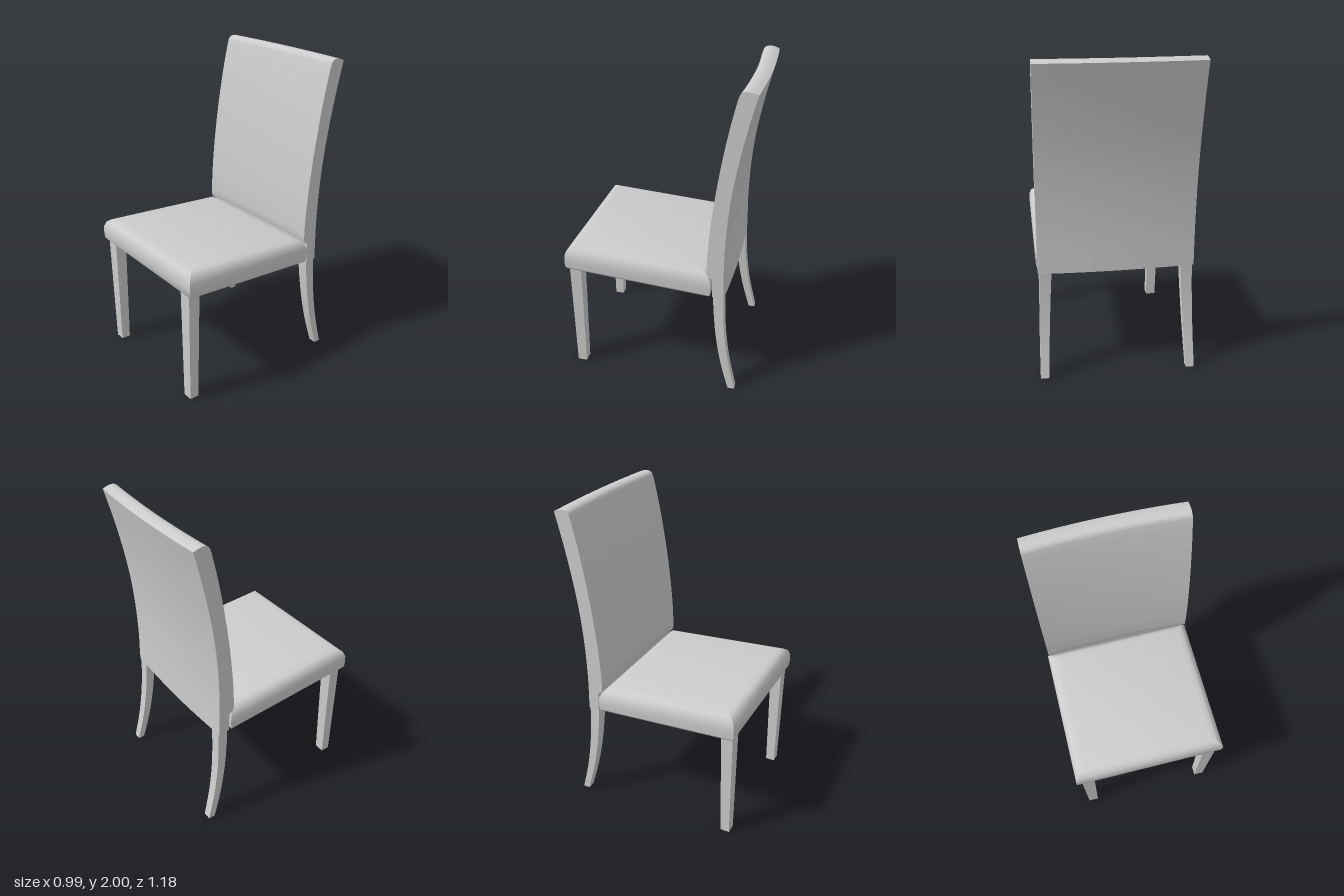
import * as THREE from 'three';
import { toCreasedNormals } from 'three/addons/utils/BufferGeometryUtils.js';

const material = new THREE.MeshStandardMaterial({ color: 0xcccccc });
const CREASE = 0.6;

function addMesh(parent, name, geometry) {
  const mesh = new THREE.Mesh(toCreasedNormals(geometry, CREASE), material);
  mesh.name = name;
  parent.add(mesh);
}

// Closed loft through rectangles [centreX, y, centreZ, halfX, halfZ], bottom to top
function loft(sections) {
  const corners = [[1, 1], [1, -1], [-1, -1], [-1, 1]];
  const positions = [];
  const index = [];
  for (const [cx, y, cz, hx, hz] of sections) {
    for (const [sx, sz] of corners) positions.push(cx + sx * hx, y, cz + sz * hz);
  }
  for (let i = 0; i < sections.length - 1; i++) {
    for (let j = 0; j < 4; j++) {
      const a = i * 4 + j, b = i * 4 + (j + 1) % 4;
      index.push(a, b, b + 4, a, b + 4, a + 4);
    }
  }
  const t = (sections.length - 1) * 4;
  index.push(0, 2, 1, 0, 3, 2, t, t + 1, t + 2, t, t + 2, t + 3);
  const geometry = new THREE.BufferGeometry();
  geometry.setAttribute('position', new THREE.Float32BufferAttribute(positions, 3));
  geometry.setIndex(index);
  return geometry;
}

// Moves each vertex by a rule
function deform(geometry, rule) {
  const p = geometry.attributes.position;
  const v = new THREE.Vector3();
  for (let i = 0; i < p.count; i++) {
    rule(v.fromBufferAttribute(p, i));
    p.setXYZ(i, v.x, v.y, v.z);
  }
  return geometry;
}

// Cushion with rounded, mitred top edges, sloping down to the back
function seatGeometry() {
  const rings = [[0, 0.014], [0.014, 0.003], [0.06, 0], [0.1, 0.002],
    [0.135, 0.016], [0.154, 0.04], [0.165, 0.078]];
  const geometry = loft(rings.map(([y, inset]) => [0, y, 0.12, 0.496 - inset, 0.468 - inset]));
  return deform(geometry, (v) => { v.y += 0.755 - (0.588 - v.z) * 0.07; });
}

// Curved side profile, extruded across the width and bowed backwards
function backrestGeometry() {
  const halfWidth = 0.487;
  const curve = (points) => new THREE.CatmullRomCurve3(
    points.map(([z, y]) => new THREE.Vector3(-z, y, 0))).getPoints(20);
  const back = curve([[-0.43, 0.69], [-0.425, 0.95], [-0.435, 1.2],
    [-0.455, 1.4], [-0.487, 1.6], [-0.528, 1.8], [-0.573, 1.985]]);
  const top = curve([[-0.573, 1.985], [-0.54, 1.997], [-0.505, 2], [-0.478, 1.986], [-0.464, 1.95]]);
  const front = curve([[-0.464, 1.95], [-0.43, 1.8], [-0.393, 1.6],
    [-0.363, 1.4], [-0.34, 1.2], [-0.325, 1], [-0.322, 0.86]]);
  const lower = [[-0.33, 0.835], [-0.355, 0.82], [-0.36, 0.695]]
    .map(([z, y]) => new THREE.Vector3(-z, y, 0));
  const outline = [...back, ...top.slice(1), ...front.slice(1), ...lower];
  const shape = new THREE.Shape(outline.map((p) => new THREE.Vector2(p.x, p.y)));
  const geometry = new THREE.ExtrudeGeometry(shape,
    { depth: halfWidth * 2, steps: 16, bevelEnabled: false });
  geometry.translate(0, 0, -halfWidth).rotateY(Math.PI / 2);
  return deform(geometry, (v) => { v.z -= 0.018 * (1 - (v.x / halfWidth) ** 2); });
}

// Straight tapered front leg
function frontLegGeometry(side) {
  return loft([
    [side * 0.415, 0, 0.535, 0.033, 0.03],
    [side * 0.418, 0.78, 0.532, 0.043, 0.038],
  ]);
}

// Back leg sweeping backwards and slightly outwards to a thin foot
function backLegGeometry(side) {
  const path = new THREE.CatmullRomCurve3([
    [0.468, 0.005, -0.502], [0.461, 0.2, -0.452], [0.453, 0.4, -0.418],
    [0.444, 0.6, -0.4], [0.438, 0.74, -0.396],
  ].map((p) => new THREE.Vector3(...p)));
  const sections = path.getPoints(12).map((p, i) => {
    const t = i / 12;
    return [side * p.x, p.y, p.z, 0.026 + 0.012 * t, 0.022 + 0.012 * t];
  });
  return loft(sections);
}

export function createModel() {
  const chair = new THREE.Group();
  chair.name = 'chair';
  addMesh(chair, 'seat', seatGeometry());
  addMesh(chair, 'backrest', backrestGeometry());
  for (const [label, side] of [['left', 1], ['right', -1]]) {
    addMesh(chair, `${label}FrontLeg`, frontLegGeometry(side));
    addMesh(chair, `${label}BackLeg`, backLegGeometry(side));
  }
  return chair;
}
